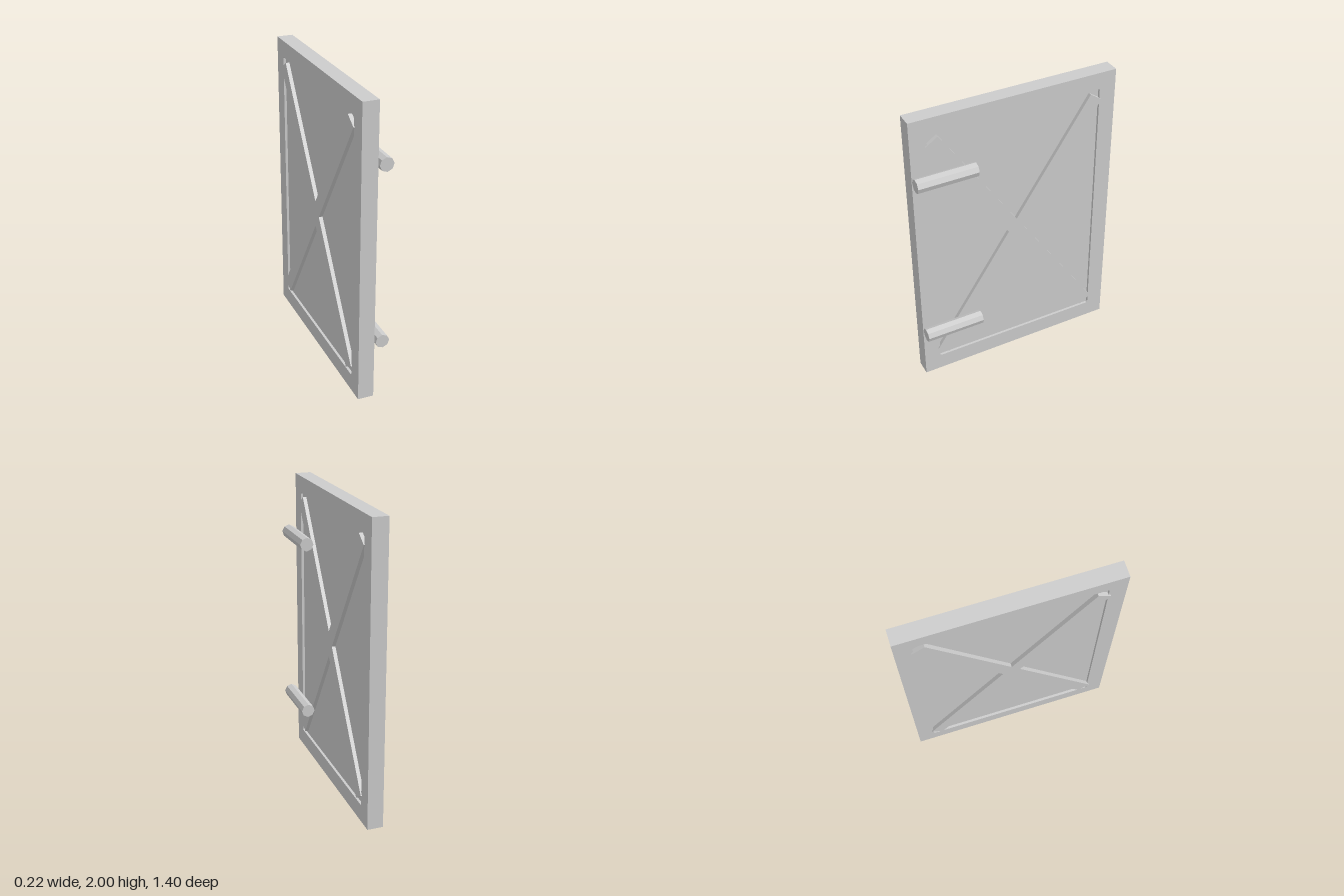
import * as THREE from 'three';

// Closed outline from [z, y] points
const trace = (path, points) => {
  path.setFromPoints(points.map(([z, y]) => new THREE.Vector2(z, y)));
  path.closePath();
  return path;
};

// Extrude a z-y outline so that its thickness runs along x between x0 and x1
const slab = (shape, x0, x1) => {
  const geometry = new THREE.ExtrudeGeometry(shape, { depth: x1 - x0, bevelEnabled: false });
  return geometry.rotateY(-Math.PI / 2).translate(x1, 0, 0);
};

export function createModel() {
  const model = new THREE.Group();
  model.name = 'door';
  const grey = new THREE.MeshStandardMaterial({ color: 0xcccccc });
  grey.name = 'plain grey';

  const add = (geometry, name) => {
    const mesh = new THREE.Mesh(geometry, grey);
    mesh.name = name;
    model.add(mesh);
    return mesh;
  };

  // Outer frame with a slightly clipped rectangular opening
  const frame = trace(new THREE.Shape(), [[-0.7, 0], [0.7, 0], [0.7, 2], [-0.7, 2]]);
  const w = 0.588, low = 0.115, high = 1.89, c = 0.008;
  frame.holes.push(trace(new THREE.Path(), [
    [-w + c, low], [-w, low + c], [-w, high - c], [-w + c, high],
    [w - c, high], [w, high - c], [w, low + c], [w - c, low],
  ]));
  add(slab(frame, -0.101, 0.005), 'frame');

  // Recessed panel
  add(new THREE.BoxGeometry(0.072, high - low + 0.02, 2 * w + 0.02)
    .translate(-0.048, (low + high) / 2, 0), 'panel');

  // Crossed braces as one X, standing proud of the frame on both faces
  const endZ = 0.56, endY = 0.84, half = 0.0485, midY = 1.0025;
  const length = Math.hypot(endZ, endY);
  const dz = (half * endY) / length, dy = (half * endZ) / length;
  const sideZ = (half * length) / endY, topY = (half * length) / endZ;
  const cross = [
    [sideZ, 0], [endZ + dz, endY - dy], [endZ - dz, endY + dy],
    [0, topY], [-endZ + dz, endY + dy], [-endZ - dz, endY - dy],
    [-sideZ, 0], [-endZ - dz, -endY + dy], [-endZ + dz, -endY - dy],
    [0, -topY], [endZ - dz, -endY - dy], [endZ + dz, -endY + dy],
  ].map(([z, y]) => [z, y + midY]);
  add(slab(trace(new THREE.Shape(), cross), -0.11, 0.013), 'crossBraces');

  // Octagonal hinge pins beside the hinge edge
  const pin = new THREE.CylinderGeometry(0.0465, 0.0465, 0.4, 8).toNonIndexed();
  pin.computeVertexNormals();
  pin.rotateX(Math.PI / 2);
  for (const [y, name] of [[0.4, 'lowerHinge'], [1.6, 'upperHinge']]) {
    const hinge = add(pin, name);
    hinge.position.set(0.06, y, 0.5);
    hinge.rotation.z = 0.06;
  }

  return model;
}
